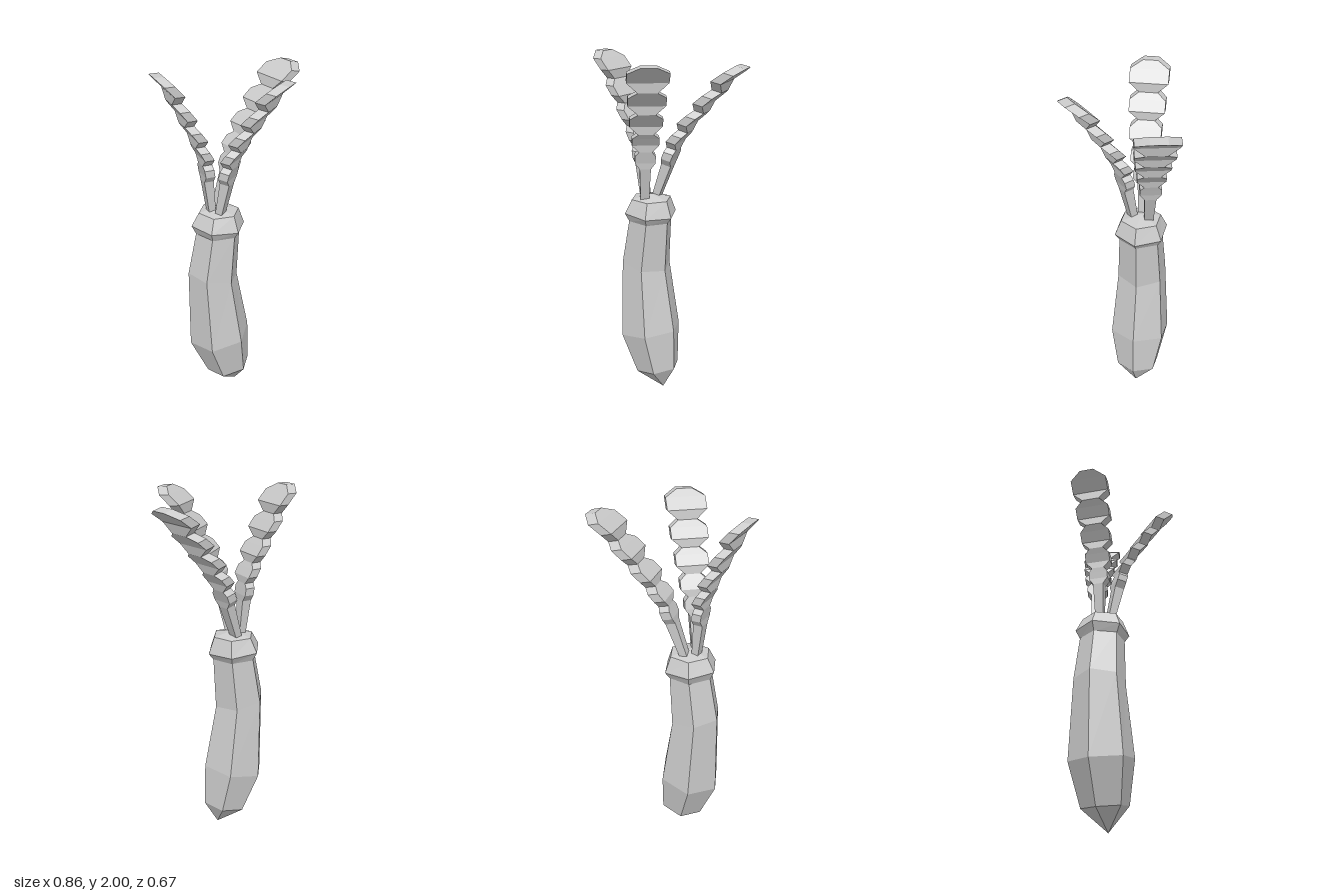
import * as THREE from 'three';

const material = new THREE.MeshStandardMaterial({ color: 0xcccccc, flatShading: true });

// Skin rings of points (counterclockwise from above, listed bottom to top) and close both ends to a point.
function loft(name, rings, bottom, top) {
  const pos = [];
  const tri = (...pts) => pts.forEach((p) => pos.push(...p));
  const n = rings[0].length;
  const last = rings[rings.length - 1];
  for (let i = 0; i < n; i++) {
    const j = (i + 1) % n;
    for (let k = 0; k < rings.length - 1; k++) {
      const lo = rings[k], hi = rings[k + 1];
      tri(lo[i], lo[j], hi[j]);
      tri(lo[i], hi[j], hi[i]);
    }
    tri(bottom, rings[0][j], rings[0][i]);
    tri(top, last[i], last[j]);
  }
  const geo = new THREE.BufferGeometry();
  geo.setAttribute('position', new THREE.Float32BufferAttribute(pos, 3));
  geo.computeVertexNormals();
  const mesh = new THREE.Mesh(geo, material);
  mesh.name = name;
  return mesh;
}

// Six-sided ring around (x, y), tilted so its left corner rises by `tilt`.
function hexRing([x, y, radius, tilt = 0]) {
  return Array.from({ length: 6 }, (_, i) => {
    const a = (i * Math.PI) / 3;
    return [x + radius * Math.cos(a), y + tilt * Math.cos(a), -0.05 - radius * Math.sin(a)];
  });
}

// Leaf: a flat stalk that swells into five notched blades, stepping outward along +x.
function makeLeaf(name) {
  const notches = [ // height, outward offset, half width at the notch, half width of the blade above
    [0.19, 0.02, 0.03, 0.055],
    [0.29, 0.03, 0.035, 0.072],
    [0.40, 0.07, 0.04, 0.086],
    [0.525, 0.13, 0.045, 0.097],
    [0.655, 0.195, 0.05, 0.105],
    [0.80, 0.28, 0.04, 0],
  ];
  const stations = [[-0.04, -0.005, 0.022, 0.018]]; // height, offset, half width, half thickness
  notches.forEach(([h, r, w, blade], i) => {
    stations.push([h, r, w, 0.027]);
    const next = notches[i + 1];
    if (!next) return;
    const dh = next[0] - h, dr = next[1] - r;
    stations.push([h + dh * 0.35, r, blade, 0.027]);
    stations.push([h + dh * 0.75, r + dr * 0.6, blade, 0.027]);
  });
  const rings = stations.map(([h, r, w, t]) => [
    [r + t, h, w], [r + t, h, -w], [r - t, h, -w], [r - t, h, w],
  ]);
  return loft(name, rings, [-0.005, -0.04, 0], [0.28, 0.8, 0]);
}

export function createModel() {
  const model = new THREE.Group();
  model.name = 'rootVegetable';

  // Bent root: x, y, radius, tilt
  const root = [
    [-0.025, 0.125, 0.13, 0.025],
    [-0.08, 0.365, 0.18, 0.035],
    [-0.115, 0.795, 0.145, -0.025],
    [-0.08, 1.08, 0.127, 0],
  ];
  model.add(loft('root', root.map(hexRing), [0.02, 0, -0.05], [-0.08, 1.1, -0.05]));

  // Crown with a flared rim
  const crown = [
    [-0.08, 1.065, 0.127, 0],
    [-0.08, 1.11, 0.154, -0.01],
    [-0.075, 1.195, 0.116, 0],
  ];
  model.add(loft('crown', crown.map(hexRing), [-0.08, 1.065, -0.05], [-0.075, 1.22, -0.05]));

  // Three leaves: name, base x, base z, heading, outward lean, scale
  const leaves = [
    ['rightLeaf', -0.12, -0.05, Math.PI + 0.1, 0, 1],
    ['backLeaf', -0.07, -0.095, 0.3, 0.235, 1.06],
    ['frontLeaf', -0.08, 0, -0.78, 0.11, 1.03],
  ];
  for (const [name, x, z, heading, lean, scale] of leaves) {
    const leaf = makeLeaf(name);
    leaf.position.set(x, 1.2, z);
    leaf.rotation.set(0, heading, -lean);
    leaf.scale.setScalar(scale);
    model.add(leaf);
  }
  return model;
}
